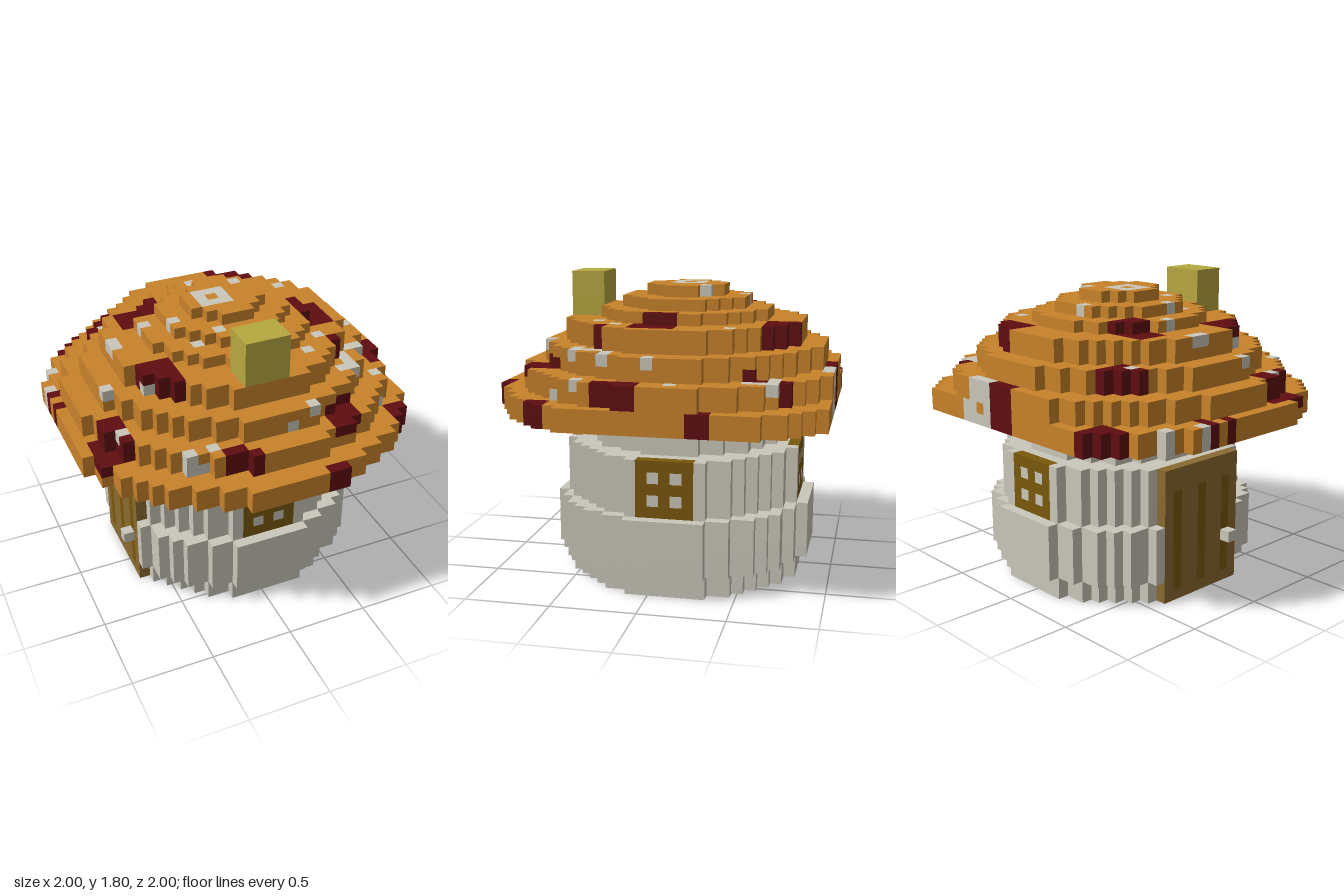
import * as THREE from 'three';
import { mergeGeometries } from 'three/addons/utils/BufferGeometryUtils.js';

const U = 1 / 15; // edge of one block

// Colours
const colours = { capOrange: 0xc8822a, patchRed: 0x5f0d10, paleStone: 0xcac7ba, frameBrown: 0x7a580c, doorWood: 0x8a6a32, chimneyOlive: 0xb6a840 };
// Part -> colour
const parts = {
  cap: 'capOrange', capPatches: 'patchRed', capFlecks: 'paleStone', stemWall: 'paleStone',
  windowFrames: 'frameBrown', windowPanes: 'paleStone', door: 'doorWood', doorGrooves: 'frameBrown',
  doorKnob: 'paleStone', chimney: 'chimneyOlive',
};

const cells = new Map();
const key = (x, y, z) => `${x},${y},${z}`;

// Visit every block of a box given by its low and high corners
function eachBlock(x0, y0, z0, x1, y1, z1, visit) {
  for (let x = x0; x < x1; x++) for (let y = y0; y < y1; y++) for (let z = z0; z < z1; z++) visit(x, y, z);
}
const fill = (part, ...box) => eachBlock(...box, (x, y, z) => cells.set(key(x, y, z), part));
const paint = (part, ...box) => eachBlock(...box, (x, y, z) => {
  if (cells.has(key(x, y, z))) cells.set(key(x, y, z), part);
});
// Round slab about the axis block (0, -2), kept inside the overall square
function disc(part, r, y0, y1) {
  eachBlock(-15, y0, -15, 15, y1, 15, (x, y, z) => {
    if (x * x + (z + 2) ** 2 <= r * r) cells.set(key(x, y, z), part);
  });
}

function buildStem() {
  for (const [r, y0, y1] of [[10.5, 0, 2], [11.5, 2, 7], [10.5, 7, 12], [8.5, 12, 15]]) disc('stemWall', r, y0, y1);

  // Windows on the front, back and +x side
  const panes = [-1, 1];
  fill('windowFrames', -2, 7, 8, 3, 12, 9);
  fill('windowFrames', -2, 7, -12, 3, 12, -11);
  fill('windowFrames', 10, 7, -4, 11, 12, 1);
  for (const a of panes) for (const y of [8, 10]) {
    fill('windowPanes', a, y, 8, a + 1, y + 1, 9);
    fill('windowPanes', a, y, -12, a + 1, y + 1, -11);
    fill('windowPanes', 10, y, a - 2, 11, y + 1, a - 1);
  }

  // Door set into the -x side
  eachBlock(-11, 0, -6, -10, 12, 3, (x, y, z) => cells.delete(key(x, y, z)));
  fill('door', -10, 0, -6, -9, 12, 3);
  for (const z of [-5, -2, 1]) fill('doorGrooves', -10, 1, z, -9, 10, z + 1);
  fill('doorKnob', -11, 4, 1, -10, 5, 2);
}

function buildCap() {
  const steps = [[16.5, 15, 17], [14.5, 17, 19], [12.5, 19, 21], [10.5, 21, 23], [7.5, 23, 24], [5.5, 24, 25], [3.5, 25, 26]];
  for (const [r, y0, y1] of steps) disc('cap', r, y0, y1);

  // Dark patches, lower steps first
  [
    [-10, 15, -15, -9, 17, -14], [-11, 15, -14, -9, 17, -13], [-12, 15, -13, -9, 17, -12],
    [-15, 15, -6, -13, 17, -5], [-15, 15, -4, -14, 17, -3], [3, 15, 14, 5, 17, 15],
    [12, 15, 8, 14, 17, 9], [12, 15, 9, 13, 17, 10], [14, 15, -6, 15, 17, -4],
    [14, 17, -6, 15, 19, -5], [-14, 16, 3, -11, 19, 7],
  ].forEach((b) => paint('capPatches', ...b));
  [
    [10, 17, -12, 12, 19, -11], [10, 17, -10, 11, 19, -9], [10, 19, -9, 11, 20, -8],
    [-5, 17, 11, -3, 19, 12], [-5, 17, 12, -2, 19, 13], [13, 17, 0, 15, 19, 2], [13, 17, 2, 14, 19, 4],
    [6, 18, 9, 8, 20, 10], [5, 18, 10, 8, 20, 11], [5, 18, 11, 7, 19, 12], [5, 19, 8, 8, 20, 10],
  ].forEach((b) => paint('capPatches', ...b));
  [
    [-8, 19, -11, -7, 21, -10], [-9, 19, -10, -7, 21, -9], [-8, 19, -9, -7, 21, -8], [-10, 19, -9, -9, 21, -8],
    [3, 21, -12, 4, 23, -9], [4, 21, -11, 6, 23, -9], [6, 21, -10, 7, 23, -9], [-8, 21, -7, -4, 24, -4],
    [-9, 21, 2, -6, 23, 4], [-8, 21, 4, -6, 23, 5], [-7, 21, 5, -6, 23, 6],
    [7, 21, -2, 10, 24, 2], [8, 21, 4, 9, 23, 5],
  ].forEach((b) => paint('capPatches', ...b));

  // Pale flecks
  [
    [-15, 15, -7, -14, 17, -6], [-14, 15, -10, -13, 17, -9], [9, 18, -11, 12, 19, -10], [11, 17, -10, 12, 19, -8],
    [-12, 18, 5, -11, 19, 6], [-8, 17, 10, -7, 19, 11], [-8, 17, 10, -6, 18, 11], [-6, 18, 10, -5, 19, 11],
    [12, 18, 5, 13, 19, 6], [11, 17, 7, 12, 18, 8], [9, 18, 6, 10, 19, 7], [13, 18, -3, 14, 19, -2],
  ].forEach((b) => paint('capFlecks', ...b));
  [
    [-9, 20, -9, -8, 21, -8], [-12, 20, 1, -11, 21, 2], [10, 20, 3, 12, 21, 4], [9, 20, 4, 10, 21, 6],
    [8, 20, 6, 10, 21, 7], [3, 20, 10, 4, 21, 11], [1, 19, 10, 2, 20, 11], [12, 20, -1, 13, 21, 0],
    [8, 21, -7, 9, 23, -6], [-10, 22, -3, -9, 23, -1], [7, 22, 3, 8, 23, 4], [5, 22, 5, 6, 23, 6],
    [-9, 21, 3, -8, 22, 4], [-7, 23, -3, -6, 24, -2], [-4, 23, 2, -3, 24, 3],
    [-1, 24, -7, 0, 25, -6], [-5, 24, -1, -4, 25, 0], [-2, 24, 2, -1, 25, 3], [2, 25, -4, 3, 26, -3],
  ].forEach((b) => paint('capFlecks', ...b));

  // Pale ring on the crown, and the large pale and dark spot on the back rim
  paint('capFlecks', -2, 25, -3, 1, 26, 0);
  paint('cap', -1, 25, -2, 0, 26, -1);
  paint('capFlecks', 1, 15, -15, 6, 17, -14);
  paint('capFlecks', 2, 17, -15, 5, 19, -14);
  paint('cap', 3, 16, -15, 4, 17, -14);
  paint('capPatches', -1, 15, -15, 2, 19, -14);

  fill('chimney', -2, 23, 6, 2, 27, 9);
}

// One unit square for each side of a block
function blockSides() {
  const side = (nx, ny, nz) => {
    const g = new THREE.PlaneGeometry(1, 1);
    if (ny) g.rotateX(-ny * Math.PI / 2);
    else g.rotateY(Math.atan2(nx, nz));
    g.translate(nx / 2 + 0.5, ny / 2 + 0.5, nz / 2 + 0.5);
    return { n: [nx, ny, nz], g };
  };
  return [side(1, 0, 0), side(-1, 0, 0), side(0, 1, 0), side(0, -1, 0), side(0, 0, 1), side(0, 0, -1)];
}

export function createModel() {
  cells.clear();
  buildStem();
  buildCap();

  // Collect the open sides of the blocks, part by part
  const faces = {};
  const sides = blockSides();
  for (const [k, part] of cells) {
    const [x, y, z] = k.split(',').map(Number);
    for (const { n, g } of sides) {
      if (cells.has(key(x + n[0], y + n[1], z + n[2]))) continue;
      (faces[part] ??= []).push(g.clone().translate(x, y, z));
    }
  }

  const materials = {};
  for (const [name, color] of Object.entries(colours)) {
    materials[name] = new THREE.MeshStandardMaterial({ color });
    materials[name].name = name;
  }

  const group = new THREE.Group();
  group.name = 'mushroomHouse';
  for (const [part, list] of Object.entries(faces)) {
    const mesh = new THREE.Mesh(mergeGeometries(list).scale(U, U, U), materials[parts[part]]);
    mesh.name = part;
    group.add(mesh);
  }
  return group;
}
